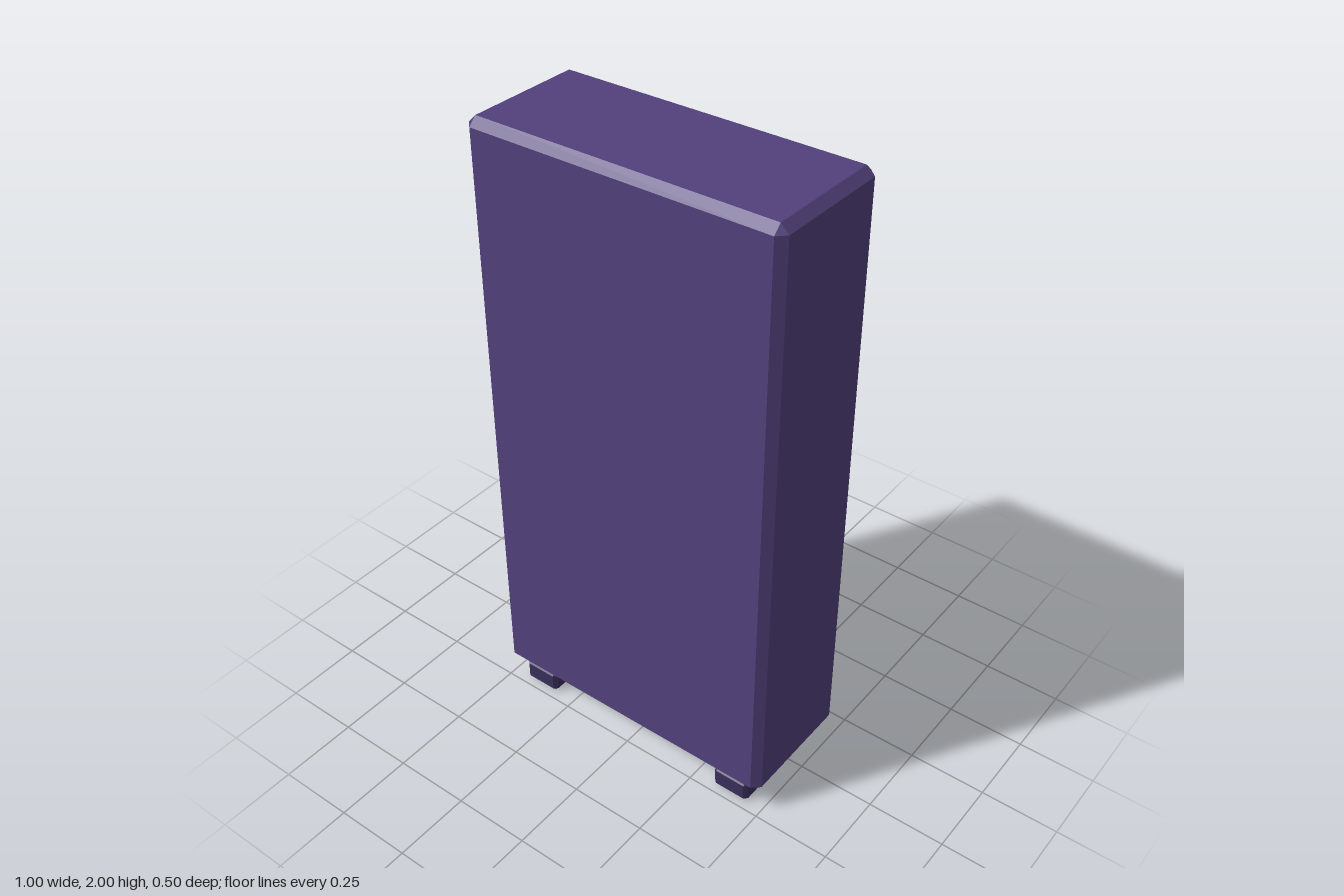
import * as THREE from 'three';
import { ConvexGeometry } from 'three/addons/geometries/ConvexGeometry.js';

function material(name, color) {
  const m = new THREE.MeshStandardMaterial({ color });
  m.name = name;
  return m;
}

// Box with flat chamfers, given by its limits on each axis
function chamferBox([x0, x1], [y0, y1], [z0, z1], bevel) {
  const half = [(x1 - x0) / 2, (y1 - y0) / 2, (z1 - z0) / 2];
  const b = Math.min(bevel, Math.min(...half) * 0.97);
  const points = [];
  for (const sx of [-1, 1]) for (const sy of [-1, 1]) for (const sz of [-1, 1]) {
    for (let axis = 0; axis < 3; axis++) {
      const h = half.map((v, i) => (i === axis ? v : v - b));
      points.push(new THREE.Vector3(sx * h[0], sy * h[1], sz * h[2]));
    }
  }
  const geometry = new ConvexGeometry(points);
  geometry.translate((x0 + x1) / 2, (y0 + y1) / 2, (z0 + z1) / 2);
  return geometry;
}

export function createModel() {
  const group = new THREE.Group();
  group.name = 'refrigerator';

  const purple = material('purple', 0x53417c);
  const darkPurple = material('dark purple', 0x3a2f5c);
  const grey = material('grey', 0x6b617a);
  const red = material('red', 0xb85a4a);

  const add = (name, geometry, mat) => {
    const mesh = new THREE.Mesh(geometry, mat);
    mesh.name = name;
    group.add(mesh);
    return mesh;
  };

  // Cabinet
  add('cabinet', chamferBox([-0.5, 0.5], [0.085, 2], [-0.17, 0.25], 0.025), purple);

  // Four feet
  for (const x of [-0.383, 0.383]) for (const z of [-0.127, 0.163]) {
    add('foot', chamferBox([x - 0.063, x + 0.063], [0, 0.078], [z - 0.063, z + 0.063], 0.012), darkPurple);
  }

  // Doors with their seals, handles and hinges
  const doors = [
    { name: 'upper', seal: [0.67, 1.9], door: [0.69, 1.88], back: -0.222, handle: 1.26, hinges: [1.665, 0.9] },
    { name: 'lower', seal: [0.14, 0.645], door: [0.165, 0.625], back: -0.23, handle: 0.37, hinges: [0.54, 0.235] },
  ];
  for (const d of doors) {
    add(d.name + 'Seal', chamferBox([-0.408, 0.408], d.seal, [-0.188, -0.16], 0.008), darkPurple);
    add(d.name + 'Door', chamferBox([-0.38, 0.377], d.door, [d.back, -0.187], 0.022), grey);
    add(d.name + 'HandlePlate',
      chamferBox([0.228, 0.308], [d.handle - 0.12, d.handle + 0.12], [-0.235, -0.22], 0.006), darkPurple);
    add(d.name + 'Handle',
      chamferBox([0.24, 0.297], [d.handle - 0.103, d.handle + 0.103], [-0.25, -0.232], 0.009), red);
    for (const y of d.hinges) {
      add(d.name + 'Hinge', chamferBox([-0.44, -0.392], [y - 0.056, y + 0.056], [-0.234, -0.199], 0.01), purple);
    }
  }

  // Corner bolts
  for (const x of [-0.422, 0.422]) for (const y of [0.157, 1.925]) {
    const bolt = add('bolt', new THREE.CylinderGeometry(0.023, 0.023, 0.035, 12), darkPurple);
    bolt.rotation.x = Math.PI / 2;
    bolt.position.set(x, y, -0.1755);
  }

  return group;
}
